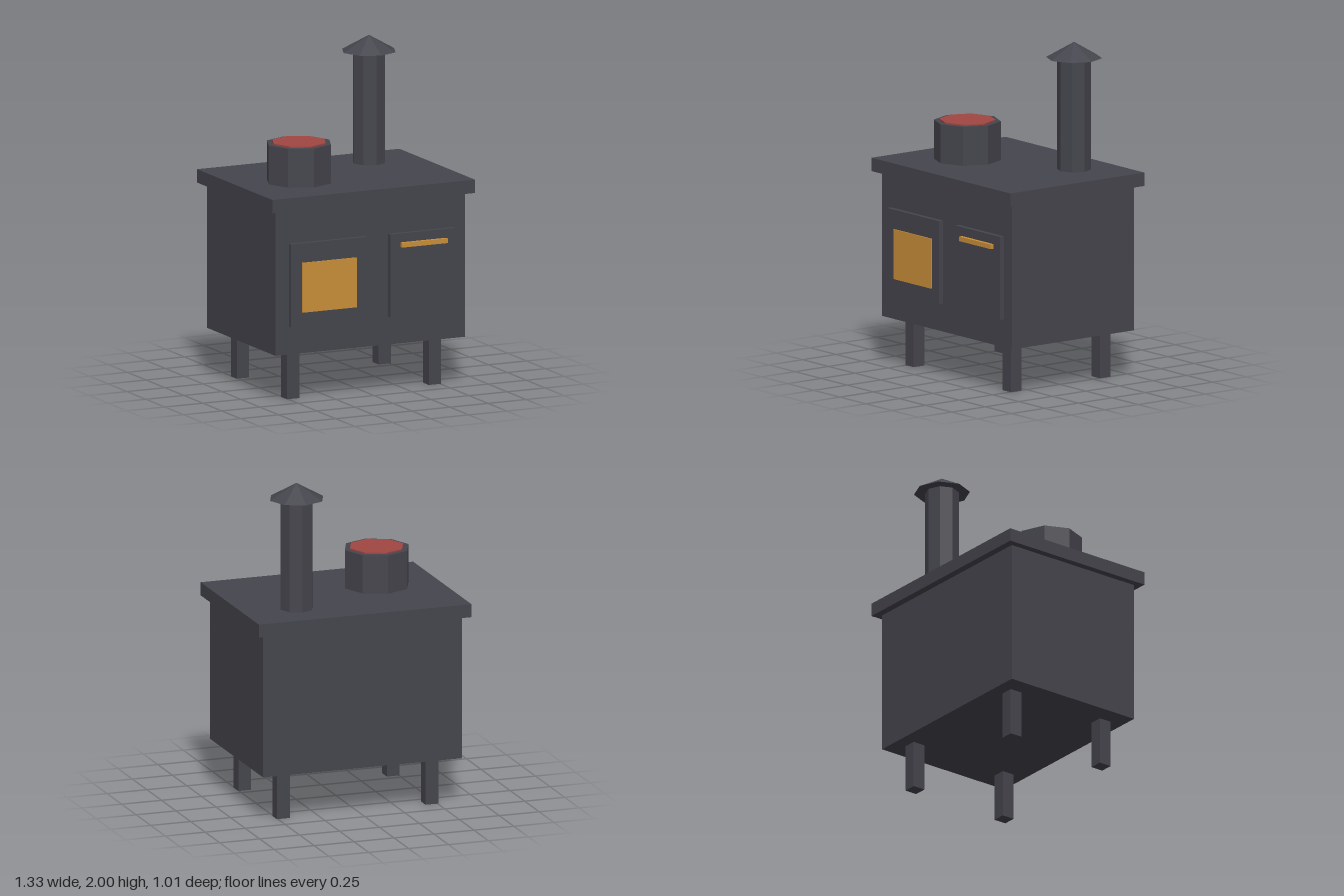
import * as THREE from 'three';

export function createModel() {
  const stove = new THREE.Group();
  stove.name = 'stove';

  const mat = (name, color) => {
    const m = new THREE.MeshStandardMaterial({ color, flatShading: true });
    m.name = name;
    return m;
  };
  const iron = mat('dark iron', 0x45454d);
  const amber = mat('amber', 0xca8f38);
  const red = mat('red', 0xa04643);

  const add = (name, geometry, material, x, y, z) => {
    const mesh = new THREE.Mesh(geometry, material);
    mesh.name = name;
    mesh.position.set(x, y, z);
    stove.add(mesh);
  };
  // Box given by its limits on each axis
  const box = (name, material, x0, x1, y0, y1, z0, z1) =>
    add(name, new THREE.BoxGeometry(x1 - x0, y1 - y0, z1 - z0), material,
      (x0 + x1) / 2, (y0 + y1) / 2, (z0 + z1) / 2);
  // Eight-sided upright cylinder from y0 to y1
  const octagon = (name, material, rTop, rBottom, x, z, y0, y1) =>
    add(name, new THREE.CylinderGeometry(rTop, rBottom, y1 - y0, 8), material, x, (y0 + y1) / 2, z);

  // Body and overhanging cooktop
  box('body', iron, -0.622, 0.622, 0.287, 1.155, -0.458, 0.452);
  box('cooktop', iron, -0.665, 0.665, 1.155, 1.235, -0.503, 0.497);

  // Four legs
  for (const x of [-0.465, 0.465]) {
    for (const z of [-0.335, 0.329]) {
      box('leg', iron, x - 0.04, x + 0.04, 0, 0.287, z - 0.04, z + 0.04);
    }
  }

  // Firebox door with glowing window, oven door with handle
  box('fireboxDoor', iron, -0.535, -0.037, 0.455, 0.953, 0.44, 0.481);
  box('fireboxWindow', amber, -0.464, -0.106, 0.538, 0.837, 0.481, 0.489);
  box('ovenDoor', iron, 0.116, 0.547, 0.455, 0.953, 0.44, 0.481);
  box('ovenHandle', amber, 0.182, 0.483, 0.872, 0.9, 0.481, 0.503);

  // Cooking pot with its contents
  octagon('pot', iron, 0.199, 0.199, -0.284, 0.079, 1.235, 1.468);
  octagon('potContents', red, 0.166, 0.166, -0.284, 0.079, 1.468, 1.476);

  // Chimney pipe and conical cap
  octagon('chimneyPipe', iron, 0.1, 0.1, 0.332, -0.237, 1.235, 1.905);
  add('chimneyCap', new THREE.ConeGeometry(0.166, 0.095, 8), iron, 0.332, 1.9525, -0.237);

  return stove;
}
